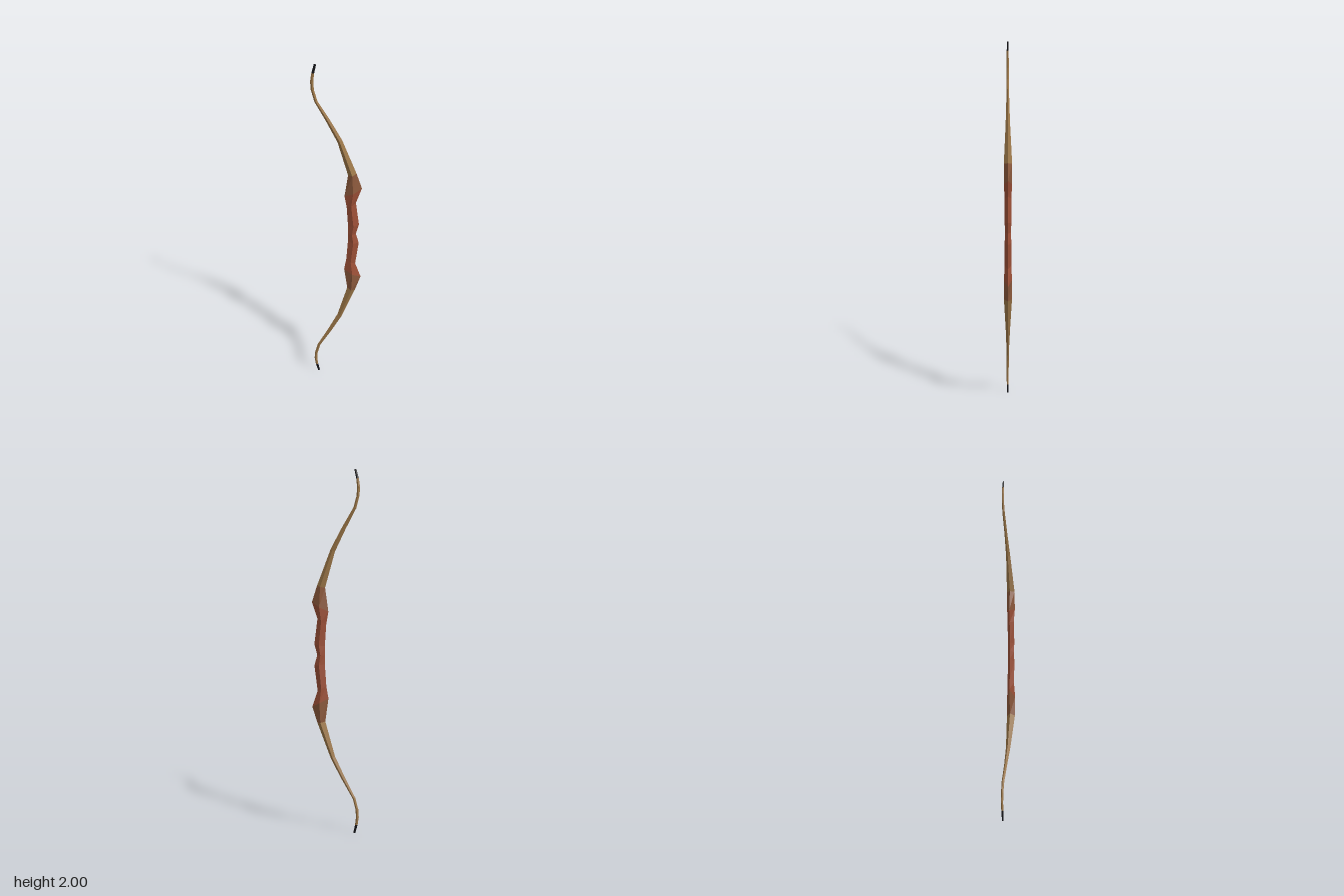
import * as THREE from 'three';

// Upper half, from the middle to the tip: [leftX, leftY, rightX, rightY, half depth]
const HALF = [
  [0.060, 1.00, 0.103, 1.00, 0.016],
  [0.060, 1.05, 0.119, 1.06, 0.018],
  [0.052, 1.17, 0.101, 1.20, 0.018],
  [0.040, 1.24, 0.132, 1.29, 0.022],
  [0.058, 1.37, 0.103, 1.38, 0.022],
  [0.003, 1.565, 0.026, 1.58, 0.012],
  [-0.055, 1.685, -0.036, 1.695, 0.008],
  [-0.113, 1.795, -0.098, 1.80, 0.007],
  [-0.130, 1.86, -0.114, 1.86, 0.006],
  [-0.133, 1.905, -0.117, 1.905, 0.006],
  [-0.126, 1.952, -0.112, 1.95, 0.005],
  [-0.113, 2.00, -0.102, 1.997, 0.004],
];

// Diamond section, counter-clockwise seen from above
function ring([lx, ly, rx, ry, hz]) {
  const mx = (lx + rx) / 2, my = (ly + ry) / 2;
  return [[rx, ry, 0], [mx, my, -hz], [lx, ly, 0], [mx, my, hz]];
}

// Skin a run of sections, listed from low to high, closed at both ends
function loft(sections) {
  const rings = sections.map(ring);
  const pos = [];
  const tri = (a, b, c) => pos.push(...a, ...b, ...c);
  for (let s = 0; s < rings.length - 1; s++) {
    const lo = rings[s], hi = rings[s + 1];
    for (let i = 0; i < 4; i++) {
      const j = (i + 1) % 4;
      tri(lo[i], lo[j], hi[j]);
      tri(lo[i], hi[j], hi[i]);
    }
  }
  const b = rings[0], t = rings[rings.length - 1];
  tri(b[0], b[2], b[1]); tri(b[0], b[3], b[2]);
  tri(t[0], t[1], t[2]); tri(t[0], t[2], t[3]);
  const geo = new THREE.BufferGeometry();
  geo.setAttribute('position', new THREE.Float32BufferAttribute(pos, 3));
  geo.computeVertexNormals();
  return geo;
}

const flip = (run) => run.map(([lx, ly, rx, ry, hz]) => [lx, 2 - ly, rx, 2 - ry, hz]).reverse();

function material(name, color) {
  const m = new THREE.MeshStandardMaterial({ color, flatShading: true });
  m.name = name;
  return m;
}

export function createModel() {
  const model = new THREE.Group();
  model.name = 'recurveBow';
  const red = material('redWood', 0x9c5037);
  const brown = material('brownWood', 0x8c593c);
  const tan = material('tanWood', 0x9c7748);
  const black = material('blackTip', 0x141418);

  const add = (name, sections, mat) => {
    const mesh = new THREE.Mesh(loft(sections), mat);
    mesh.name = name;
    model.add(mesh);
  };

  // Grip runs through the middle
  const grip = HALF.slice(0, 4);
  add('grip', [...flip(grip.slice(1)), ...grip], red);

  // Swollen riser ends, limbs and tips, mirrored above and below
  const parts = [
    ['RiserEnd', HALF.slice(3, 5), brown],
    ['Limb', HALF.slice(4, 11), tan],
    ['Tip', HALF.slice(10), black],
  ];
  for (const [name, run, mat] of parts) {
    add('upper' + name, run, mat);
    add('lower' + name, flip(run), mat);
  }
  return model;
}
